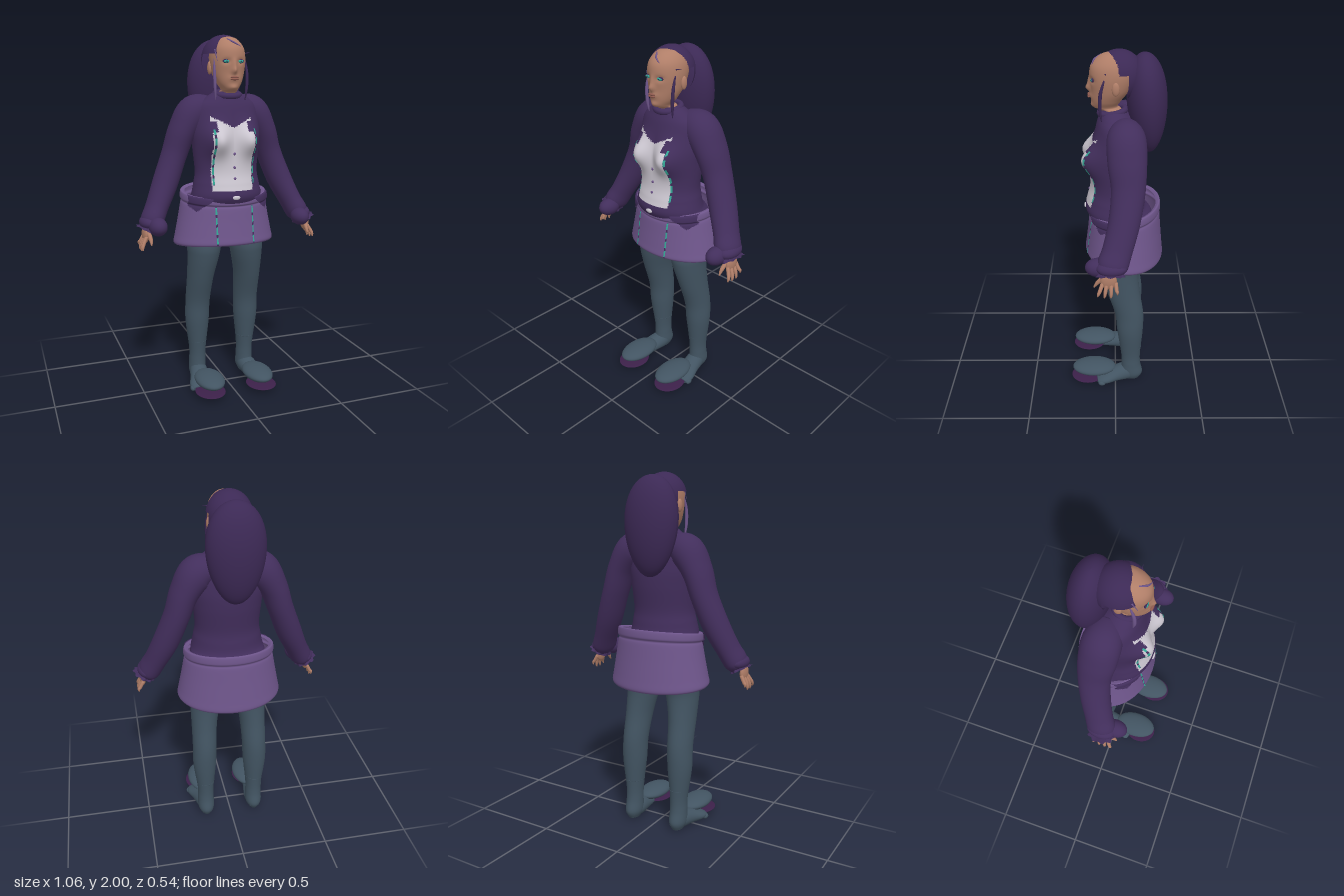
import * as THREE from 'three';

const mat = (name, color) => {
  const m = new THREE.MeshStandardMaterial({ color, side: THREE.DoubleSide });
  m.name = name;
  return m;
};
const V = (x, y, z) => new THREE.Vector3(x, y, z);
const gauss = (a, b) => Math.exp(-(a * a + b * b));

// smooth interpolation through rows of numbers, t in 0..1
function sample(rows, t) {
  const f = t * (rows.length - 1);
  const i = Math.max(0, Math.min(Math.floor(f), rows.length - 2)), k = f - i;
  const r = (d) => rows[Math.max(0, Math.min(rows.length - 1, i + d))];
  return rows[0].map((_, c) => {
    const p0 = r(-1)[c], p1 = r(0)[c], p2 = r(1)[c], p3 = r(2)[c];
    const m1 = (p2 - p0) / 2, m2 = (p3 - p1) / 2;
    return (2 * p1 - 2 * p2 + m1 + m2) * k ** 3 + (3 * p2 - 3 * p1 - 2 * m1 - m2) * k * k + m1 * k + p1;
  });
}

// surface grid: fn(i 0..1, j 0..1); pick(point) gives a material index, or -1 to leave a hole
function grid(fn, ni, nj, closed, pick = () => 0) {
  const pos = [], lists = [[], [], []], cols = closed ? nj : nj + 1;
  for (let i = 0; i <= ni; i++) for (let j = 0; j < cols; j++) pos.push(fn(i / ni, j / nj));
  const tri = (a, b, c) => {
    const m = pick(V(0, 0, 0).add(pos[a]).add(pos[b]).add(pos[c]).divideScalar(3));
    if (m >= 0) lists[m].push(a, b, c);
  };
  for (let i = 0; i < ni; i++) for (let j = 0; j < nj; j++) {
    const a = i * cols + j, b = i * cols + (j + 1) % cols;
    tri(a, a + cols, b);
    tri(b, a + cols, b + cols);
  }
  const g = new THREE.BufferGeometry().setFromPoints(pos);
  g.setIndex(lists.flat());
  let start = 0;
  lists.forEach((l, m) => { if (l.length) g.addGroup(start, l.length, m); start += l.length; });
  g.computeVertexNormals();
  return g;
}

// point on a stack of level ellipses, rows [y, cx, cz, rx, rz] from top to bottom; angle 0 is the front
function onStack(rows, t, a, warp = (p) => p) {
  const [y, cx, cz, rx, rz] = sample(rows, t);
  return warp(V(cx + rx * Math.sin(a), y, cz + rz * Math.cos(a)));
}
const stack = (rows, ni, nj, warp, pick) =>
  grid((t, j) => onStack(rows, t, j * Math.PI * 2, warp), ni, nj, true, pick);

// capped limb, rows [x, y, z, rSide, rOther] along a path
function limb(rows, ref = V(0, 0, 1), ni = 24, nj = 20) {
  return grid((u, j) => {
    const step = Math.round(u * (ni + 2));
    const t = Math.min(1, Math.max(0, (step - 1) / ni)), k = step === 0 || step === ni + 2 ? 0 : 1;
    const [x, y, z, r1, r2] = sample(rows, t), a = j * Math.PI * 2;
    const p = (q) => V(...sample(rows, q).slice(0, 3));
    const tan = p(Math.min(1, t + 0.01)).sub(p(Math.max(0, t - 0.01))).normalize();
    const side = ref.clone().cross(tan).normalize(), other = tan.clone().cross(side);
    return V(x, y, z).addScaledVector(side, k * r1 * Math.sin(a)).addScaledVector(other, k * r2 * Math.cos(a));
  }, ni + 2, nj, true);
}

const ball = (x, y, z, rx, ry, rz, n = 24) =>
  new THREE.SphereGeometry(1, n, Math.ceil(n * 0.7)).scale(rx, ry, rz).translate(x, y, z);

export function createModel() {
  const model = new THREE.Group();
  const skin = mat('skin', 0xb07e68), purple = mat('dark purple cloth', 0x422e5c);
  const lavender = mat('lavender cloth', 0x6f568c), slate = mat('slate tights', 0x425462);
  const white = mat('white shirt', 0xcdc8d2), teal = mat('teal', 0x35a897);
  const lip = mat('lips', 0x8e594e), sole = mat('plum sole', 0x3c2049), hair = mat('hair', 0x3c2955);
  const add = (name, geo, m, parent = model) => {
    const mesh = new THREE.Mesh(geo, m);
    mesh.name = name;
    parent.add(mesh);
    return mesh;
  };

  // jacket and shirt: one body surface, coloured by region
  const torso = [[1.70, 0, .01, .07, .06], [1.66, 0, 0, .13, .085], [1.61, 0, -.02, .18, .12],
    [1.5, 0, -.02, .195, .14], [1.4, 0, -.015, .188, .145], [1.27, 0, -.005, .178, .142],
    [1.2, 0, 0, .188, .153], [1.14, 0, 0, .2, .165], [1.09, 0, -.03, .21, .175], [1.0, 0, -.05, .2, .15]];
  const bust = (p) => {
    if (p.z > 0) p.z += .07 * gauss((Math.abs(p.x) - .095) / .065, (p.y - 1.44) / .08);
    return p;
  };
  add('jacketAndShirt', stack(torso, 110, 144, bust, (p) => {
    const edge = p.y > 1.49 && p.y < 1.545 ? .085 : .115;
    return p.z > .04 && Math.abs(p.x + .008) < edge && p.y > 1.17 && p.y < 1.51 + Math.abs(p.x) * .5 ? 1 : 0;
  }), [purple, white]);
  const collar = new THREE.TorusGeometry(.066, .017, 10, 40).rotateX(Math.PI / 2 + .15).translate(0, 1.685, .015);
  add('collar', collar, purple);
  for (const t of [.47, .53, .6]) {
    const p = onStack(torso, t, 0, bust);
    add('button', ball(p.x, p.y, p.z, .008, .008, .005, 10), lavender);
  }
  add('buckle', ball(0, 1.135, .167, .022, .012, .007, 14), white);

  // skirt, tilted at waist and hem
  const skirt = [[1.145, 0, -.05, .225, .175], [1.15, 0, -.05, .247, .195], [1.115, 0, -.05, .252, .2],
    [1.1, 0, -.05, .244, .192], [1.08, 0, -.05, .25, .197], [1.0, 0, -.05, .265, .205],
    [.91, 0, -.05, .283, .215], [.865, 0, -.05, .292, .22], [.85, 0, -.05, .285, .213]];
  const tilt = (p) => {
    const k = (p.y - .85) / .285;
    p.y += (p.z + .05) * (.08 * (1 - k) - .12 * k);
    return p;
  };
  add('skirt', stack(skirt, 48, 64, tilt), lavender);
  const flap = skirt.map(([y, x, z, a, b]) => [y, x, z, a + .007, b + .01]);
  add('jacketHemPoints', stack(flap, 90, 180, tilt, (p) => {
    const x = Math.abs(p.x);
    return p.z > -.02 && x > .12 && x < .235 && p.y > 1.055 + Math.abs(x - .2) * .8 ? 0 : -1;
  }), purple);

  // dashed trim running down the jacket edges and the skirt
  const trim = (name, rows, warp, x, t0, t1) => add(name, grid((u, j) => {
    const t = t0 + (t1 - t0) * u;
    const p = onStack(rows, t, Math.asin((x + (j - .5) * .009) / sample(rows, t)[3]), warp);
    p.z += .005;
    return p;
  }, 40, 1, false, (p) => (Math.floor(p.y / .018) % 3 === 0 ? 1 : 0)), [teal, purple]);
  for (const s of [-1, 1]) {
    trim('skirtTrim', skirt, tilt, s * .105, .38, .9);
    trim('jacketTrim', torso, bust, s * .114, .33, .66);
  }

  // head
  const headRows = [[1.99, 0, .0, .015, .02], [1.975, 0, .005, .055, .07], [1.93, 0, .012, .087, .11],
    [1.87, 0, .015, .096, .117], [1.80, 0, .025, .087, .1], [1.745, 0, .045, .066, .078],
    [1.71, 0, .05, .045, .062], [1.69, 0, .02, .05, .055], [1.6, 0, 0, .055, .055]];
  const face = (p) => {
    if (p.z > .05) {
      const x = Math.abs(p.x);
      p.z += .024 * gauss(p.x / .014, (p.y - 1.808) / .02) + .01 * gauss(p.x / .012, (p.y - 1.84) / .025);
      p.z += .008 * gauss(p.x / .025, (p.y - 1.77) / .015) + .008 * gauss(p.x / .025, (p.y - 1.72) / .015);
      p.z -= .01 * gauss((x - .04) / .02, (p.y - 1.857) / .014);
    }
    return p;
  };
  add('head', stack(headRows, 80, 80, face), skin);
  for (const y of [1.775, 1.765]) add('lip', ball(0, y, .135, .024, .006, .008, 14), lip);
  for (const s of [-1, 1]) {
    const z = .115;
    add('eyeRim', ball(s * .04, 1.858, z - .001, .021, .011, .008, 16), hair);
    add('eye', ball(s * .04, 1.857, z + .003, .017, .008, .007, 16), teal);
    add('pupil', ball(s * .04, 1.857, z + .0085, .004, .004, .003, 8), hair);
    add('ear', ball(s * .094, 1.825, -.002, .012, .035, .02, 16).rotateY(0), skin);
    add('sideStrand', limb([[s * .088, 1.87, .055, .003, .004], [s * .092, 1.8, .075, .008, .009],
      [s * .09, 1.72, .078, .008, .009], [s * .084, 1.655, .07, .002, .002]], V(0, 0, 1), 16, 8), s < 0 ? lavender : hair);
  }

  // hair: cap with a slanting hairline, long tail behind, loose wisps
  const capAt = (t, j) => {
    const a = t * Math.PI, b = j * Math.PI * 2;
    return V(-.008 + .121 * Math.sin(a) * Math.sin(b), 1.87 + .13 * Math.cos(a), -.02 + .125 * Math.sin(a) * Math.cos(b));
  };
  add('hairCap', grid(capAt, 60, 90, true, (p) =>
    (p.z < .04 - .55 * p.x && (p.y > 1.895 || p.z < -.065) ? 0 : -1)), hair);
  const tail = ball(0, 0, 0, 1, 1, 1, 40), tp = tail.attributes.position;
  for (let i = 0; i < tp.count; i++) {
    const y = tp.getY(i), k = 1 + .14 * y;
    tp.setXYZ(i, -.015 + tp.getX(i) * .153 * k, 1.718 + y * .265, -.165 + .015 * y + tp.getZ(i) * .105 * k);
  }
  tail.computeVertexNormals();
  add('hairTail', tail, hair);
  add('wisp', limb([[.085, 1.90, .05, .004, .004], [.118, 1.905, .045, .001, .001]], V(0, 0, 1), 4, 6), hair);
  add('wisp', limb([[-.02, 1.972, .07, .005, .005], [.005, 1.955, .105, .005, .005], [.04, 1.935, .118, .001, .001]],
    V(0, 1, 0), 8, 6), lavender);
  add('wisp', limb([[-.085, 1.92, .06, .005, .005], [-.082, 1.86, .09, .001, .001]], V(0, 0, 1), 6, 6), lavender);

  for (const s of [-1, 1]) {
    // sleeve and gathered cuff
    const arm = new THREE.Group();
    arm.name = s > 0 ? 'leftArm' : 'rightArm';
    model.add(arm);
    const put = (rows) => rows.map(([x, ...r]) => [s * x, ...r]);
    add('sleeve', limb(put([[.07, 1.615, -.05, .06, .07], [.165, 1.59, -.055, .092, .1], [.235, 1.49, -.06, .078, .1],
      [.282, 1.36, -.065, .07, .088], [.34, 1.21, -.045, .07, .082], [.4, 1.08, -.01, .062, .078],
      [.435, 1.01, .015, .062, .08], [.452, .975, .025, .045, .06]]), V(0, 0, 1), 50, 36), purple, arm);
    add('cuffFold', ball(s * .42, .99, .09, .05, .05, .068), purple, arm);
    add('cuffFold', ball(s * .455, 1.005, .02, .05, .04, .08), purple, arm);
    add('cuffFrill', grid((u, j) => {
      const a = j * Math.PI * 2, r = 1 + u * (.3 + .12 * Math.sin(a * 9));
      return V(s * (.452 + .02 * u + .042 * r * Math.sin(s * a)), .985 - .02 * u + .03 * Math.sin(a) * s * u, .025 + .055 * r * Math.cos(a));
    }, 4, 72, true), purple, arm);

    // hand
    add('palm', ball(s * .478, .945, .035, .018, .05, .042), skin, arm);
    for (let f = 0; f < 4; f++) {
      const z = .065 - f * .022, end = .092 - f * .034, drop = f === 3 ? .02 : f === 0 ? .008 : 0;
      add('finger', limb(put([[.478, .935, z, .01, .011], [.497, .9, (z + end) / 2, .01, .01],
        [.505, .872 + drop, end * .95, .008, .008], [.504, .856 + drop, end, .003, .003]]), V(0, 0, 1), 10, 10), skin, arm);
    }
    add('thumb', limb(put([[.468, .96, .06, .012, .012], [.462, .925, .092, .011, .011], [.462, .895, .112, .004, .004]]),
      V(0, 0, 1), 10, 10), skin, arm);

    // leg and foot
    const leg = new THREE.Group();
    leg.name = s > 0 ? 'leftLeg' : 'rightLeg';
    model.add(leg);
    add('tights', stack([[1.02, .11, -.05, .1, .12], [.86, .125, -.025, .097, .118], [.78, .131, -.022, .089, .108],
      [.65, .143, -.045, .075, .095], [.5, .149, -.08, .07, .083], [.37, .152, -.087, .068, .076],
      [.2, .15, -.092, .049, .058], [.12, .15, -.095, .048, .057], [.05, .15, -.1, .048, .065], [.008, .15, -.1, .03, .045]]
      .map(([y, x, ...r]) => [y, s * x, ...r]), 60, 32), slate, leg);
    const band = new THREE.TorusGeometry(.051, .003, 6, 36).rotateX(Math.PI / 2).scale(1, 1, 1.18);
    add('ankleSeam', band.translate(s * .15, .245, -.091), slate, leg);
    add('foot', limb(put([[.15, .045, -.15, .03, .03], [.15, .055, -.08, .05, .053], [.165, .045, 0, .055, .044],
      [.183, .032, .07, .06, .03], [.188, .024, .11, .045, .018]]), V(0, 1, 0), 24, 24), slate, leg);
    for (let i = 0; i < 5; i++)
      add('toe', ball(s * (.146 + i * .022), .022, .118 - i * .009, .014, .015, .022, 12), slate, leg);
    add('shoeTop', ball(s * .147, .085, .13, .081, .037, .131, 32), slate, leg);
    add('shoeSole', ball(s * .155, .031, .168, .085, .009, .1, 32), sole, leg);
  }
  return model;
}
